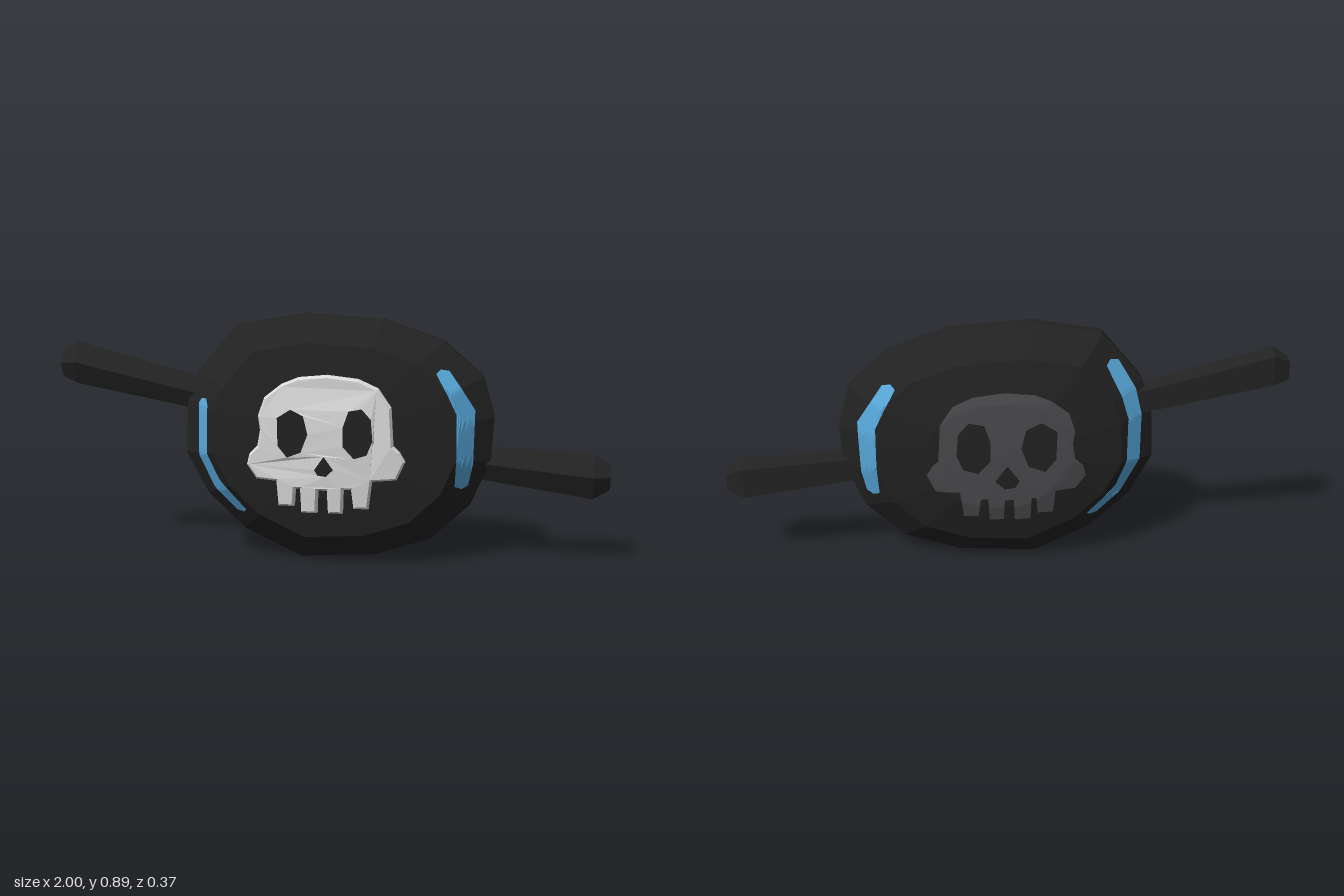
import * as THREE from 'three';

const mat = (name, color) => Object.assign(new THREE.MeshStandardMaterial({ color }), { name });

// Body outline, clockwise from the front
const CX = 0.03, CY = 0.45;
const OUTLINE = [
  [-0.48, 0.68], [-0.335, 0.85], [-0.09, 0.89], [0.195, 0.87], [0.41, 0.795], [0.55, 0.67],
  [0.59, 0.53], [0.58, 0.37], [0.51, 0.21], [0.37, 0.08], [0.17, 0.015], [-0.105, 0],
  [-0.315, 0.1], [-0.45, 0.23], [-0.53, 0.38], [-0.52, 0.575],
];
// [fraction of the outline, z] from the centre to the rim
const FRONT = [[0, 0.138], [0.45, 0.138], [0.78, 0.115], [1, 0.003]];
const BACK = [[0, -0.182], [0.45, -0.175], [0.78, -0.14], [1, -0.05]];

// Height of the body surface at a point
function surfaceZ(x, y, profile) {
  const dx = x - CX, dy = y - CY;
  let r = 0;
  OUTLINE.forEach(([ax, ay], i) => {
    const [bx, by] = OUTLINE[(i + 1) % OUTLINE.length];
    const nx = by - ay, ny = ax - bx;
    r = Math.max(r, (dx * nx + dy * ny) / ((ax - CX) * nx + (ay - CY) * ny));
  });
  r = Math.min(r, 1);
  const k = Math.max(1, profile.findIndex((p) => p[0] >= r));
  const [r0, z0] = profile[k - 1], [r1, z1] = profile[k];
  return z0 + ((r - r0) / (r1 - r0)) * (z1 - z0);
}

function faceted(points) {
  const g = new THREE.BufferGeometry().setFromPoints(points);
  g.computeVertexNormals();
  return g;
}

// Faceted skin over a list of rings
function loft(rings) {
  const out = [];
  const tri = (a, b, c) => {
    if (new THREE.Triangle(a, b, c).getArea() > 1e-8) out.push(a, b, c);
  };
  for (let i = 0; i < rings.length - 1; i++) {
    const n = rings[i].length;
    for (let j = 0; j < n; j++) {
      const k = (j + 1) % n;
      const a = rings[i][j], b = rings[i][k], c = rings[i + 1][k], d = rings[i + 1][j];
      tri(a, d, c);
      tri(a, c, b);
    }
  }
  return faceted(out);
}

const V2 = (list) => list.map(([x, y]) => new THREE.Vector2(x, y));

function makeShape(outline, holes = []) {
  const s = new THREE.Shape(V2(outline));
  holes.forEach((h) => s.holes.push(new THREE.Path(V2(h))));
  return s;
}

// Thin painted face laid over the front or back of the body
function drape(shape, back) {
  const pos = new THREE.ShapeGeometry(shape).toNonIndexed().getAttribute('position');
  let pts = [];
  for (let i = 0; i < pos.count; i++) pts.push(new THREE.Vector3().fromBufferAttribute(pos, i));
  for (let level = 0; level < 3; level++) {
    const next = [];
    for (let i = 0; i < pts.length; i += 3) {
      const [a, b, c] = pts.slice(i, i + 3);
      const ab = a.clone().lerp(b, 0.5), bc = b.clone().lerp(c, 0.5), ca = c.clone().lerp(a, 0.5);
      next.push(a, ab, ca, ab, b, bc, ca, bc, c, ab, bc, ca);
    }
    pts = next;
  }
  pts = pts.map((p) => new THREE.Vector3(p.x, p.y,
    back ? surfaceZ(p.x, p.y, BACK) - 0.006 : surfaceZ(p.x, p.y, FRONT) + 0.006));
  if (back) pts.reverse();
  return faceted(pts);
}

// Skull outline with four teeth, eye sockets and nose
const SKULL = [
  [-0.15, 0.652], [-0.09, 0.676], [0.01, 0.685], [0.12, 0.672], [0.19, 0.64], [0.235, 0.575],
  [0.243, 0.44], [0.265, 0.42], [0.285, 0.385], [0.255, 0.32], [0.17, 0.315],
  [0.157, 0.215], [0.105, 0.215], [0.097, 0.285], [0.07, 0.285], [0.066, 0.197], [0.015, 0.197],
  [0.012, 0.28], [-0.02, 0.28], [-0.024, 0.197], [-0.08, 0.197], [-0.083, 0.285], [-0.1, 0.285],
  [-0.106, 0.22], [-0.162, 0.22], [-0.168, 0.31], [-0.24, 0.315], [-0.275, 0.365],
  [-0.265, 0.405], [-0.235, 0.435], [-0.225, 0.49], [-0.232, 0.54], [-0.21, 0.605],
];
const SOCKETS = [
  [[-0.17, 0.54], [-0.115, 0.575], [-0.062, 0.55], [-0.045, 0.48], [-0.072, 0.41], [-0.13, 0.388], [-0.168, 0.435]],
  [[0.062, 0.51], [0.083, 0.57], [0.137, 0.58], [0.174, 0.538], [0.18, 0.458], [0.158, 0.404], [0.105, 0.388], [0.062, 0.436]],
  [[0.003, 0.415], [0.046, 0.356], [0.013, 0.324], [-0.024, 0.329], [-0.04, 0.356]],
];

// Blue stripe outlines
const LEFT_STRIPE = [
  [0.385, 0.69], [0.4, 0.704], [0.43, 0.698], [0.475, 0.635], [0.522, 0.56], [0.518, 0.37],
  [0.502, 0.29], [0.48, 0.278], [0.455, 0.29], [0.46, 0.4], [0.458, 0.55], [0.425, 0.62],
];
const FRONT_RIGHT_STRIPE = [
  [-0.468, 0.57], [-0.455, 0.588], [-0.435, 0.588], [-0.428, 0.565], [-0.43, 0.39], [-0.39, 0.3],
  [-0.29, 0.19], [-0.3, 0.177], [-0.33, 0.18], [-0.415, 0.265], [-0.468, 0.38],
];
const BACK_RIGHT_STRIPE = [
  [-0.345, 0.75], [-0.36, 0.768], [-0.39, 0.762], [-0.455, 0.655], [-0.478, 0.56], [-0.478, 0.39],
  [-0.415, 0.265], [-0.33, 0.18], [-0.3, 0.177], [-0.29, 0.19], [-0.39, 0.3], [-0.425, 0.4],
  [-0.425, 0.56], [-0.4, 0.64],
];

// Five-sided strap cross-section as [z, y]
const STRAP = [[0.065, 0], [0.012, 0.075], [-0.05, 0.055], [-0.055, -0.05], [0.03, -0.08]];
const strap = (stations) => loft(stations.map(([x, y, s]) =>
  STRAP.map(([pz, py]) => new THREE.Vector3(x, y + py * s, -0.035 + pz * s))));

export function createModel() {
  const group = new THREE.Group();
  const black = mat('black', 0x222222);
  const white = mat('bone white', 0xdadada);
  const grey = mat('faded grey', 0x4a4a4d);
  const blue = mat('blue', 0x57a8da);
  const add = (name, geometry, material) => {
    const m = new THREE.Mesh(geometry, material);
    m.name = name;
    group.add(m);
  };

  // Lens-shaped body, built from the back to the front
  const rings = [...BACK, ...[...FRONT].reverse()].map(([r, z]) =>
    OUTLINE.map(([x, y]) => new THREE.Vector3(CX + (x - CX) * r, CY + (y - CY) * r, z)));
  add('body', loft(rings), black);

  // Strap ends
  add('rightStrap', strap([[-1, 0.7, 0], [-1, 0.7, 0.6], [-0.94, 0.707, 1], [-0.5, 0.602, 0.78], [-0.4, 0.58, 0.75]]), black);
  add('leftStrap', strap([[0.45, 0.37, 0.75], [0.56, 0.36, 0.78], [0.94, 0.322, 1.02], [1, 0.32, 0.6], [1, 0.32, 0]]), black);

  // Raised skull with a gently domed face
  const skullShape = makeShape(SKULL, SOCKETS);
  const skull = new THREE.ExtrudeGeometry(skullShape, {
    depth: 0.07, bevelEnabled: true, bevelThickness: 0.01, bevelSize: 0.008, bevelOffset: -0.008, bevelSegments: 1,
  });
  const p = skull.getAttribute('position');
  for (let i = 0; i < p.count; i++) {
    const x = p.getX(i), dy = p.getY(i) - 0.5;
    let z = p.getZ(i) + 0.102;
    if (p.getZ(i) > 0.035) z -= 0.32 * x * x + (dy > 0 ? 0.6 : 0.2) * dy * dy;
    p.setZ(i, z);
  }
  skull.computeVertexNormals();
  add('skull', skull, white);

  // Flat skull and stripes
  add('backSkull', drape(skullShape, true), grey);
  add('frontLeftStripe', drape(makeShape(LEFT_STRIPE), false), blue);
  add('frontRightStripe', drape(makeShape(FRONT_RIGHT_STRIPE), false), blue);
  add('backLeftStripe', drape(makeShape(LEFT_STRIPE), true), blue);
  add('backRightStripe', drape(makeShape(BACK_RIGHT_STRIPE), true), blue);
  return group;
}
